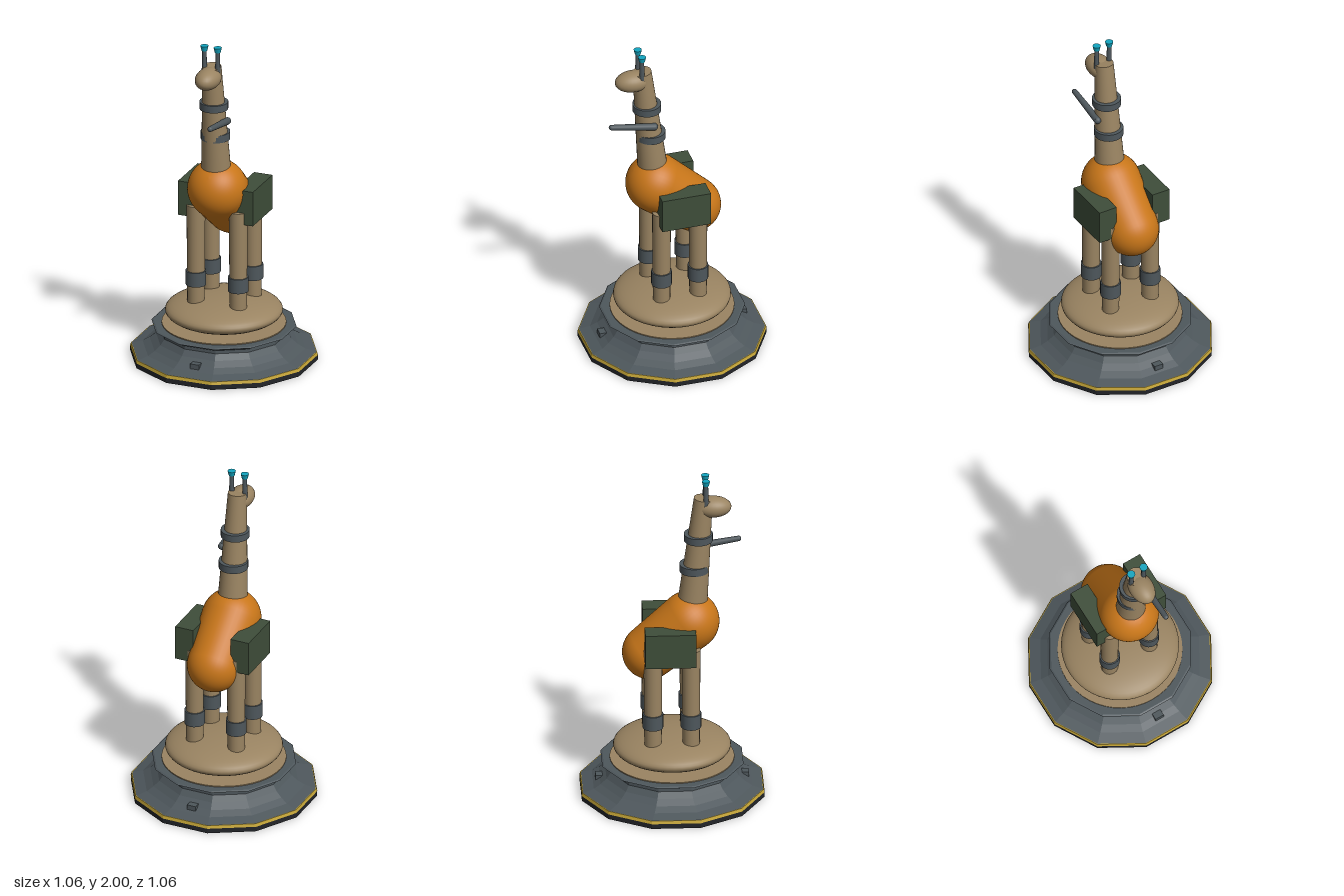
import * as THREE from 'three';

const mat = (name, color) => {
  const m = new THREE.MeshStandardMaterial({ color });
  m.name = name;
  return m;
};

export function createModel() {
  const model = new THREE.Group();
  model.name = 'giraffeStatue';
  const tan = mat('tan', 0x9a8462);
  const orange = mat('orange', 0xc87619);
  const grey = mat('slateGrey', 0x4e575c);
  const green = mat('darkGreen', 0x3f4e3a);
  const cyan = mat('cyan', 0x12a5c0);
  const yellow = mat('yellow', 0xc4a436);
  const black = mat('black', 0x222428);

  const add = (name, geo, material, x = 0, y = 0, z = 0) => {
    const mesh = new THREE.Mesh(geo, material);
    mesh.name = name;
    mesh.position.set(x, y, z);
    model.add(mesh);
    return mesh;
  };
  // Tapered round bar between two points
  const bar = (name, a, b, ra, rb, material, sides = 20) => {
    const p = new THREE.Vector3(...a), q = new THREE.Vector3(...b);
    const dir = q.clone().sub(p);
    const mesh = add(name, new THREE.CylinderGeometry(rb, ra, dir.length(), sides), material);
    mesh.position.copy(p).add(q).multiplyScalar(0.5);
    mesh.quaternion.setFromUnitVectors(new THREE.Vector3(0, 1, 0), dir.normalize());
    return mesh;
  };
  // Twelve-sided faceted turning; profile radii are measured to the flats
  const faceted = (name, profile, material) => {
    const pts = profile.map(([r, y]) => new THREE.Vector2(r / Math.cos(Math.PI / 12), y));
    const geo = new THREE.LatheGeometry(pts, 12, Math.PI / 12).toNonIndexed();
    geo.computeVertexNormals();
    return add(name, geo, material);
  };

  // Pedestal
  faceted('pedestalFoot', [[0, 0], [0.53, 0], [0.53, 0.03], [0, 0.03]], black);
  faceted('pedestalTrim', [[0.4, 0.03], [0.531, 0.03], [0.526, 0.048], [0.4, 0.048]], yellow);
  faceted('pedestalBody', [[0.522, 0.048], [0.46, 0.066], [0.42, 0.09], [0.385, 0.12], [0.36, 0.155],
    [0.36, 0.175], [0.39, 0.19], [0.41, 0.2], [0.4, 0.206], [0, 0.206]], grey);
  add('groundDisc', new THREE.CylinderGeometry(0.362, 0.362, 0.012, 48), tan, 0, 0.206, 0);
  add('mound', new THREE.SphereGeometry(1, 48, 24).scale(0.342, 0.087, 0.342), tan, 0, 0.288, 0);
  for (const s of [-1, 1]) add('pedestalTab', new THREE.BoxGeometry(0.055, 0.07, 0.04), grey, 0, 0.07, s * 0.425);

  // Legs with ankle bands
  for (const x of [-0.133, 0.133]) {
    for (const z of [0.104, -0.117]) {
      bar('leg', [x, 0.3, z], [x, 0.96, z], 0.05, 0.055, tan);
      add('ankleBand', new THREE.CylinderGeometry(0.06, 0.06, 0.088, 20), grey, x, 0.506, z);
    }
  }

  // Sloping body: two spheres joined by a tapered skin
  const rear = 0.16, front = 0.175, span = 0.302;
  const lean = Math.asin((front - rear) / span);
  const profile = [];
  for (let i = 0; i <= 28; i++) {
    const upper = i > 13;
    const a = upper
      ? THREE.MathUtils.lerp(-lean, Math.PI / 2, (i - 14) / 14)
      : THREE.MathUtils.lerp(-Math.PI / 2, -lean, i / 13);
    const r = upper ? front : rear;
    profile.push(new THREE.Vector2(Math.max(0, r * Math.cos(a)), (upper ? span : 0) + r * Math.sin(a)));
  }
  add('body', new THREE.LatheGeometry(profile, 40), orange, 0, 0.885, -0.13).rotation.x = Math.atan2(0.23, 0.195);

  // Side packs
  for (const s of [-1, 1]) add('sidePack', new THREE.BoxGeometry(0.115, 0.212, 0.295), green, s * 0.1775, 0.994, -0.018);

  // Neck, collars and head
  bar('neck', [0, 1.14, 0.113], [0, 1.872, 0.182], 0.09, 0.055, tan, 28);
  add('upperCollar', new THREE.CylinderGeometry(0.084, 0.084, 0.044, 28), grey, 0, 1.622, 0.153);
  add('lowerCollar', new THREE.CylinderGeometry(0.086, 0.086, 0.046, 28), grey, 0, 1.427, 0.129);
  add('head', new THREE.SphereGeometry(1, 28, 18).scale(0.072, 0.062, 0.108), tan, 0, 1.815, 0.237);

  // Lever on the left of the neck
  bar('lever', [0.075, 1.523, 0.13], [0.075, 1.568, 0.39], 0.022, 0.016, grey, 14);
  add('leverRoot', new THREE.SphereGeometry(0.022, 14, 10), grey, 0.075, 1.523, 0.13);
  add('leverTip', new THREE.SphereGeometry(0.016, 14, 10), grey, 0.075, 1.568, 0.39);

  // Horns with bright tips
  for (const x of [-0.042, 0.042]) {
    add('horn', new THREE.CylinderGeometry(0.013, 0.016, 0.15, 12), grey, x, 1.9, 0.195);
    add('hornTip', new THREE.CylinderGeometry(0.024, 0.017, 0.03, 12), cyan, x, 1.985, 0.195);
  }
  return model;
}
